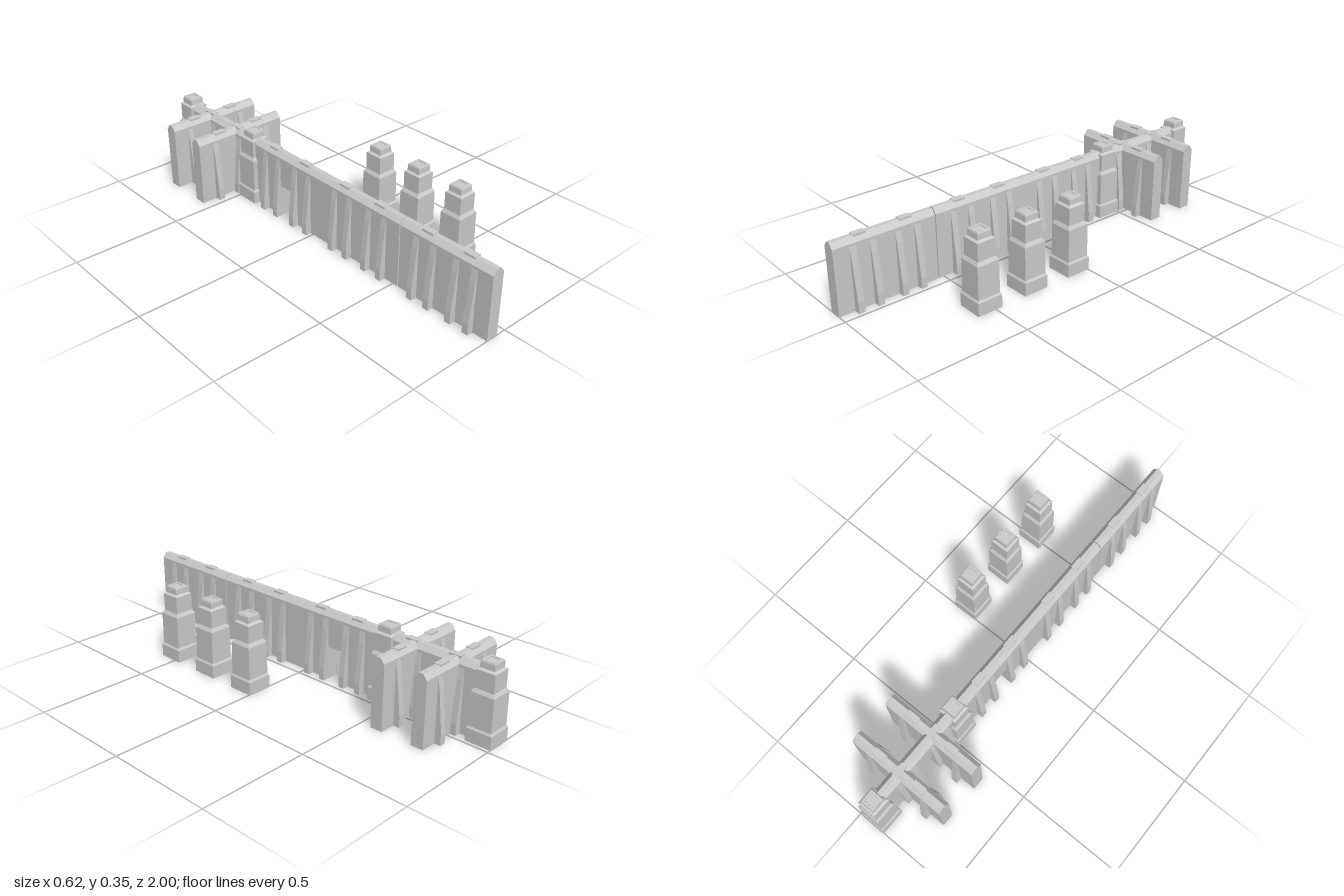
import * as THREE from 'three';

const material = new THREE.MeshStandardMaterial({ color: 0xcccccc, flatShading: true, side: THREE.DoubleSide });
const WALL_LENGTH = 0.47;
const WALL_X = -0.075;

// Extrudes an XY outline along z from z0 to z1, leaving the ground side open
function prism(points, z0, z1) {
  const shape = new THREE.Shape(points.map(([x, y]) => new THREE.Vector2(x, y)));
  const source = new THREE.ExtrudeGeometry(shape, { depth: z1 - z0, bevelEnabled: false });
  const p = source.attributes.position.array;
  const kept = [];
  for (let i = 0; i < p.length; i += 9) {
    if (p[i + 1] + p[i + 4] + p[i + 7] > 1e-6) kept.push(...p.slice(i, i + 9));
  }
  const geometry = new THREE.BufferGeometry();
  geometry.setAttribute('position', new THREE.Float32BufferAttribute(kept, 3));
  geometry.computeVertexNormals();
  return geometry.translate(0, 0, z0);
}

function add(group, geometry, name) {
  const mesh = new THREE.Mesh(geometry, material);
  mesh.name = name;
  group.add(mesh);
  return mesh;
}

// Wall section with a sloped coping, starting at the given height
const wallOutline = (base) => [
  [-0.029, base], [0.029, base], [0.029, 0.296], [0.01, 0.32], [-0.01, 0.32], [-0.029, 0.296],
];
const buttressOutline = [
  [0.027, 0], [0.058, 0], [0.058, 0.05], [0.0375, 0.235], [0.029, 0.285], [0.027, 0.285],
];

// One wall section running along z, centred on its own origin
function createWall(name, buttressOffsets, door) {
  const wall = new THREE.Group();
  wall.name = name;
  const half = WALL_LENGTH / 2;
  if (door) {
    add(wall, prism(wallOutline(0), -half, -0.045), 'wallBody');
    add(wall, prism(wallOutline(0), 0.045, half), 'wallBody');
    add(wall, prism(wallOutline(0.155), -0.045, 0.045), 'doorLintel');
  } else {
    add(wall, prism(wallOutline(0), -half, half), 'wallBody');
  }
  // Tapered buttresses on both faces
  const buttress = prism(buttressOutline, -0.014, 0.014);
  for (const z of buttressOffsets) {
    for (const turn of [0, Math.PI]) {
      const mesh = add(wall, buttress, 'buttress');
      mesh.position.z = z;
      mesh.rotation.y = turn;
    }
  }
  // Low blocks on the ridge
  for (const z of [-0.105, 0.105]) {
    add(wall, new THREE.BoxGeometry(0.03, 0.022, 0.058), 'ridgeBlock').position.set(0, 0.312, z);
  }
  return wall;
}

// Square stepped tower: half widths and heights, turned with four sides
function createTowerGeometry() {
  const profile = [
    [0, 0], [0.059, 0], [0.059, 0.058], [0.0535, 0.067], [0.0525, 0.215], [0.0435, 0.231],
    [0.0435, 0.31], [0.034, 0.318], [0.033, 0.343], [0.03, 0.35], [0.021, 0.35],
    [0.02, 0.345], [0, 0.345],
  ].map(([r, y]) => new THREE.Vector2(r * Math.SQRT2, y));
  return new THREE.LatheGeometry(profile, 4).rotateY(Math.PI / 4);
}

export function createModel() {
  const model = new THREE.Group();
  model.name = 'fortification';

  // Long wall line, the last two sections with a doorway
  const sections = [[0.765, false], [0.29, false], [-0.178, true], [-0.676, true]];
  for (const [z, door] of sections) {
    const wall = createWall('longWall', [-0.148, -0.058, 0.058, 0.148], door);
    wall.position.set(WALL_X, 0, z);
    model.add(wall);
  }

  // Two walls crossing the line
  for (const z of [-0.58, -0.783]) {
    const wall = createWall('crossWall', [-0.147, 0.147], false);
    wall.position.set(WALL_X, 0, z);
    wall.rotation.y = Math.PI / 2;
    model.add(wall);
  }

  // Towers on the wall line and the free-standing row
  const towerGeometry = createTowerGeometry();
  const towers = [[WALL_X, -0.445], [WALL_X, -0.941], [0.249, 0.055], [0.249, 0.29], [0.249, 0.527]];
  for (const [x, z] of towers) {
    add(model, towerGeometry, 'tower').position.set(x, 0, z);
  }
  return model;
}
